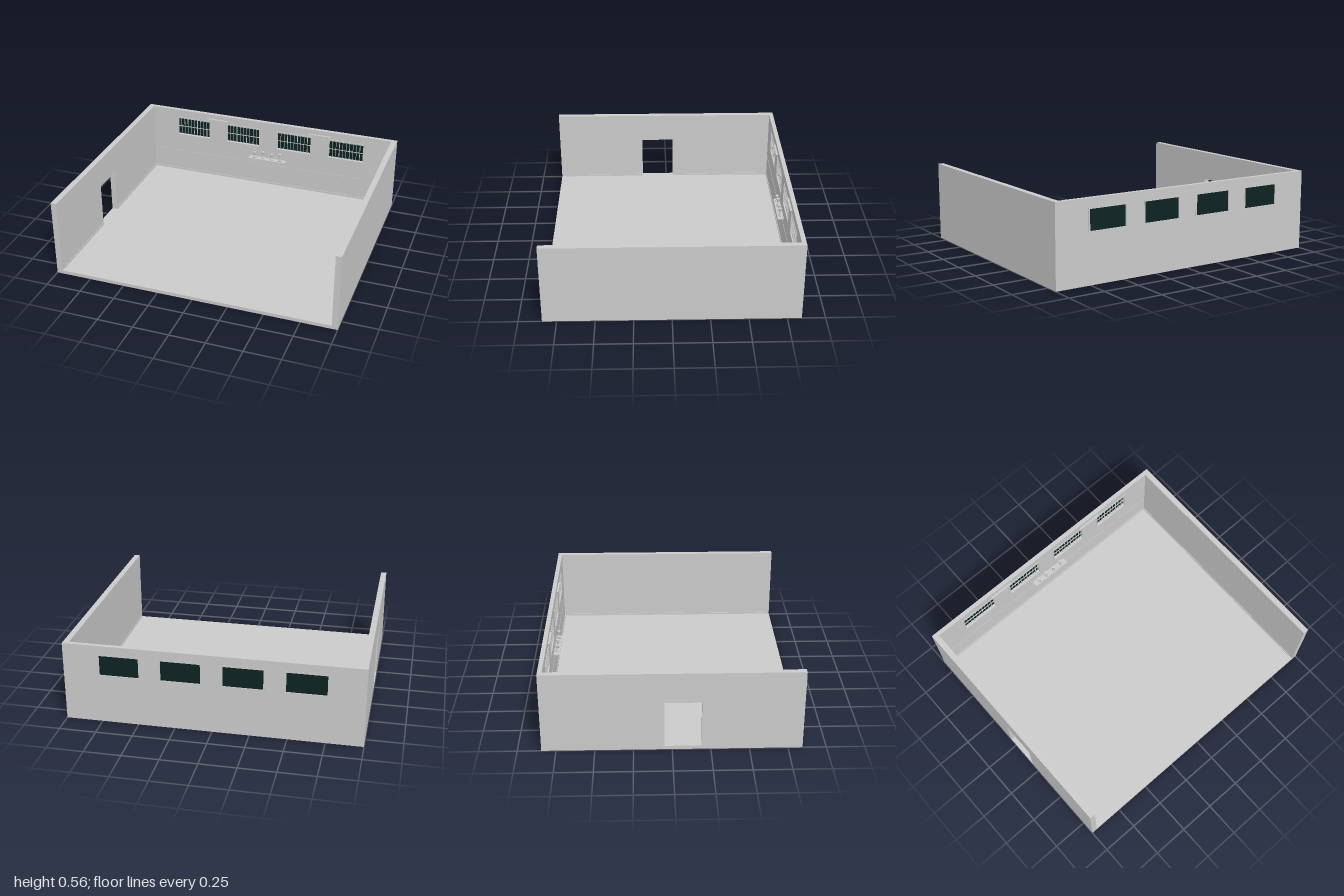
import * as THREE from 'three';

const H = 0.555, T = 0.04, BACK = -0.845, FRONT = 0.845, INNER = -0.815;

export function createModel() {
  const root = new THREE.Group();
  root.name = 'room';
  const plaster = new THREE.MeshStandardMaterial({ color: 0xcacaca });
  plaster.name = 'light grey';
  const glass = new THREE.MeshStandardMaterial({ color: 0x0c2222 });
  glass.name = 'dark teal glass';

  const add = (name, geo, mat, parent = root) => {
    const m = new THREE.Mesh(geo, mat);
    m.name = name;
    parent.add(m);
    return m;
  };
  // box given by its minimum and maximum corners
  const box = (name, x0, x1, y0, y1, z0, z1, mat = plaster, parent = root) => {
    const m = add(name, new THREE.BoxGeometry(x1 - x0, y1 - y0, z1 - z0), mat, parent);
    m.position.set((x0 + x1) / 2, (y0 + y1) / 2, (z0 + z1) / 2);
    return m;
  };
  const trace = (p, x0, x1, y0, y1) =>
    p.moveTo(x0, y0).lineTo(x1, y0).lineTo(x1, y1).lineTo(x0, y1).closePath();
  // rectangular slab with rectangular openings
  const slab = (outer, holes, depth) => {
    const s = new THREE.Shape();
    trace(s, ...outer);
    for (const h of holes) {
      const p = new THREE.Path();
      trace(p, ...h);
      s.holes.push(p);
    }
    return new THREE.ExtrudeGeometry(s, { depth, bevelEnabled: false });
  };

  // floor and walls, open at the front
  box('floor', -1 + T, 1 - T, 0, 0.025, INNER, FRONT);
  const windows = [-0.62, -0.207, 0.207, 0.62].map(x => [x - 0.133, x + 0.133, 0.345, 0.485]);
  add('backWall', slab([-1 + T, 1 - T, 0, H], windows, INNER - BACK), plaster).position.z = BACK;
  box('leftWall', 1 - T, 1, 0, H, BACK, FRONT);
  const doorWall = slab([BACK, FRONT, 0, H], [[-0.05, 0.19, 0.025, 0.345]], T);
  doorWall.rotateY(-Math.PI / 2);
  add('rightWallWithDoorway', doorWall, plaster).position.x = -1 + T;

  // skirting along the walls, broken at the doorway
  const sk = 0.004, top = 0.04;
  box('backSkirting', -0.96, 0.96, 0.025, top, INNER, INNER + sk);
  box('leftSkirting', 0.96 - sk, 0.96, 0.025, top, INNER, 0.81);
  box('rightSkirting', -0.96, -0.96 + sk, 0.025, top, INNER, -0.05);
  box('rightSkirting', -0.96, -0.96 + sk, 0.025, top, 0.19, 0.81);
  box('wallRail', -0.96, 0.96, 0.196, 0.2, INNER, INNER + 0.002);

  // windows with glass, surround and bars
  for (const [x0, x1, y0, y1] of windows) {
    const w = new THREE.Group();
    w.name = 'window';
    root.add(w);
    box('pane', x0, x1, y0, y1, -0.84, -0.834, glass, w);
    const f = 0.01;
    const ring = slab([x0 - f, x1 + f, y0 - f, y1 + f], [[x0, x1, y0, y1]], 0.004);
    add('innerSurround', ring, plaster, w).position.z = INNER;
    add('outerSurround', ring, plaster, w).position.z = BACK - 0.002;
    for (let i = 1; i < 10; i++) {
      const x = x0 + (x1 - x0) * i / 10, r = i % 3 ? 0.0012 : 0.002;
      box('verticalBar', x - r, x + r, y0, y1, -0.825, -0.819, plaster, w);
    }
    const ym = (y0 + y1) / 2;
    box('crossBar', x0, x1, ym - 0.0015, ym + 0.0015, -0.825, -0.819, plaster, w);
  }

  // wall lamps between the windows, tapering downwards
  for (const s of [-1, 1]) {
    const p = new THREE.Shape();
    p.moveTo(-0.082, 0.507).lineTo(0.082, 0.507).lineTo(0.088, 0.519).lineTo(-0.088, 0.519).closePath();
    add('wallLamp', new THREE.ExtrudeGeometry(p, { depth: 0.014, bevelEnabled: false }), plaster)
      .position.set(s * 0.413, 0, INNER);
  }

  // shelf with four cups
  box('shelf', -0.147, 0.15, 0.244, 0.252, INNER, -0.772);
  [[-0.102, 0.05], [-0.036, 0.062], [0.037, 0.05], [0.104, 0.062]].forEach(([x, h]) => {
    const profile = [[0, 0], [0.012, 0], [0.011, 0.1], [0.004, 0.4], [0.004, 0.5],
      [0.012, 0.92], [0.012, 1], [0, 1]].map(([r, y]) => new THREE.Vector2(r, y * h));
    add('cup', new THREE.LatheGeometry(profile, 16), plaster).position.set(x, 0.252, -0.793);
  });

  return root;
}
